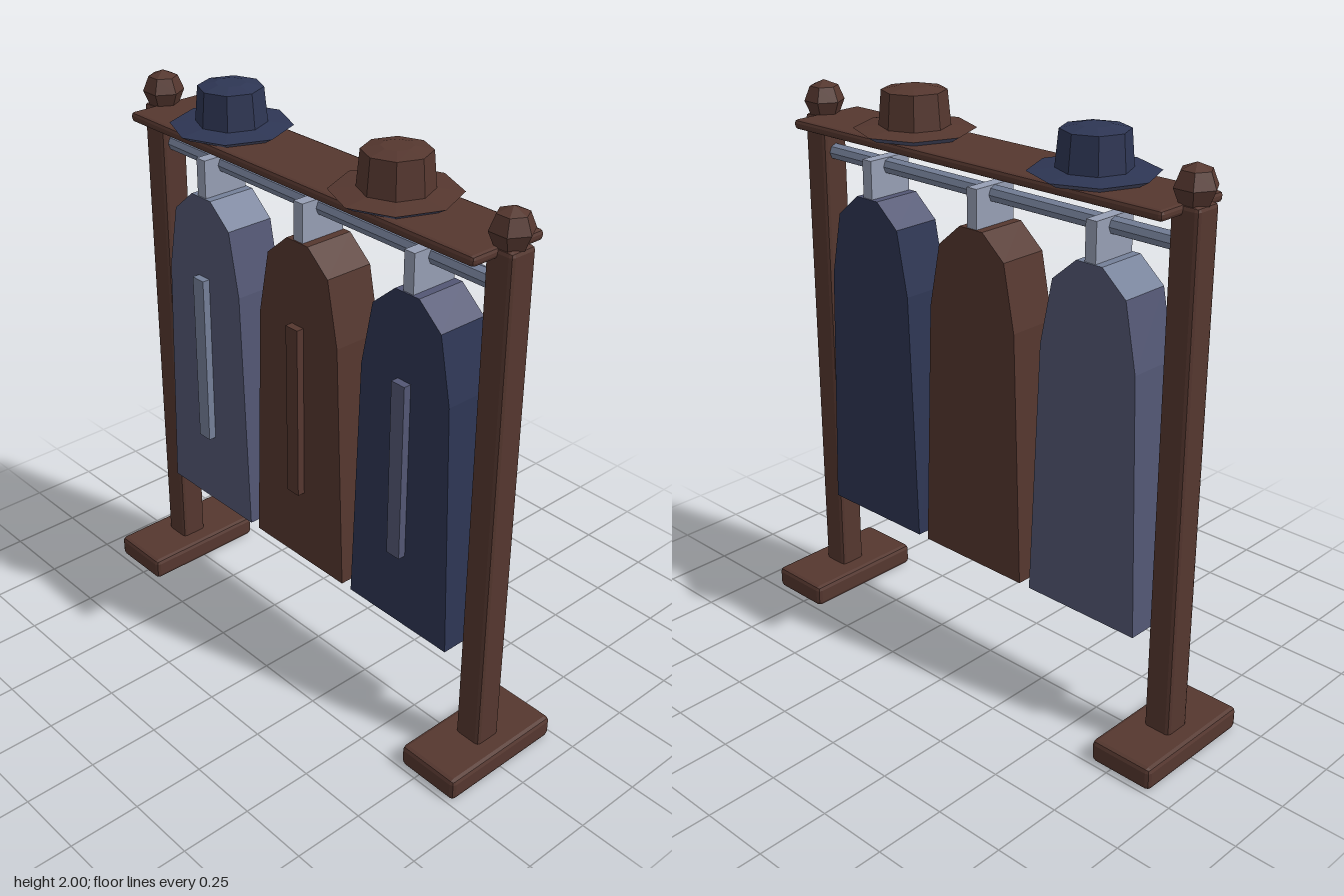
import * as THREE from 'three';
import { RoundedBoxGeometry } from 'three/addons/geometries/RoundedBoxGeometry.js';

const paint = (name, color) => Object.assign(new THREE.MeshStandardMaterial({ color }), { name });

export function createModel() {
  const root = new THREE.Group();
  root.name = 'coatRack';
  const wood = paint('dark brown wood', 0x55372f);
  const navy = paint('navy cloth', 0x2e3654);
  const slate = paint('slate cloth', 0x535774);
  const steel = paint('blue grey', 0x758099);
  const pale = paint('pale metal', 0x979fb5);

  // Adds a mesh with hard facets
  function add(name, geometry, material, x, y, z, parent = root) {
    const flat = geometry.index ? geometry.toNonIndexed() : geometry;
    flat.computeVertexNormals();
    const mesh = new THREE.Mesh(flat, material);
    mesh.name = name;
    mesh.position.set(x, y, z);
    parent.add(mesh);
    return mesh;
  }
  const chamferBox = (w, h, d, r) => new RoundedBoxGeometry(w, h, d, 1, r);

  // Feet, posts and finials
  for (const [side, s] of [['left', 1], ['right', -1]]) {
    add(side + 'Foot', chamferBox(0.235, 0.08, 0.47, 0.016), wood, s * 0.79, 0.04, 0);
    add(side + 'Post', chamferBox(0.1, 1.8, 0.1, 0.014), wood, s * 0.79, 0.94, 0);
    add(side + 'Finial', new THREE.SphereGeometry(0.07, 6, 4), wood, s * 0.79, 1.885, 0);
  }

  // Shelf and hanging rail
  add('shelf', chamferBox(1.57, 0.034, 0.29, 0.012), wood, 0, 1.825, 0);
  add('rail', new THREE.CylinderGeometry(0.029, 0.029, 1.5, 8).rotateZ(Math.PI / 2), steel, 0, 1.712, 0);

  // Coat outline, extruded; the top and shoulder faces take the trim colour
  const half = [[0.222, 0.413], [0.188, 1.305], [0.143, 1.53], [0.05, 1.61]];
  const outline = [...half, ...half.map(([x, y]) => [-x, y]).reverse()]
    .map(([x, y]) => new THREE.Vector2(x, y));
  function coatGeometry() {
    const geo = new THREE.ExtrudeGeometry(new THREE.Shape(outline), { depth: 0.18, bevelEnabled: false });
    geo.translate(0, 0, -0.09);
    const p = geo.attributes.position, n = geo.attributes.normal;
    geo.clearGroups();
    for (let i = 0; i < p.count; i += 3) {
      const low = Math.min(p.getY(i), p.getY(i + 1), p.getY(i + 2));
      const shoulder = low > 1.5 && Math.abs(n.getZ(i)) < 0.5;
      geo.addGroup(i, 3, shoulder ? 1 : 0);
    }
    return geo;
  }

  // Coats with hanger hooks and raised button strips
  const coats = [['right', -0.487, slate, steel], ['middle', 0, wood, wood], ['left', 0.487, navy, slate]];
  for (const [label, x, cloth, trim] of coats) {
    const coat = new THREE.Group();
    coat.name = label + 'Coat';
    coat.position.x = x;
    root.add(coat);
    add('coatBody', coatGeometry(), [cloth, trim], 0, 0, 0, coat);
    add('buttonStrip', new THREE.BoxGeometry(0.056, 0.63, 0.04), trim, 0, 1.003, 0.097, coat);
    add('hangerHook', new THREE.BoxGeometry(0.042, 0.16, 0.17), pale, 0, 1.662, 0, coat);
  }

  // Octagonal hats: trimmed underside, shallow brim, tapered crown, low cap
  for (const [label, x, felt, trim] of [['right', -0.423, navy, slate], ['left', 0.34, wood, slate]]) {
    const hat = new THREE.Group();
    hat.name = label + 'Hat';
    hat.position.x = x;
    root.add(hat);
    const ring = (name, rTop, rBottom, y0, y1, mat) =>
      add(name, new THREE.CylinderGeometry(rTop, rBottom, y1 - y0, 8), mat, 0, (y0 + y1) / 2, 0, hat);
    ring('brimUnderside', 0.203, 0.17, 1.843, 1.862, trim);
    ring('brim', 0.12, 0.203, 1.862, 1.872, felt);
    ring('crown', 0.108, 0.119, 1.868, 1.988, felt);
    ring('crownCap', 0.05, 0.108, 1.988, 2, felt);
  }
  return root;
}
